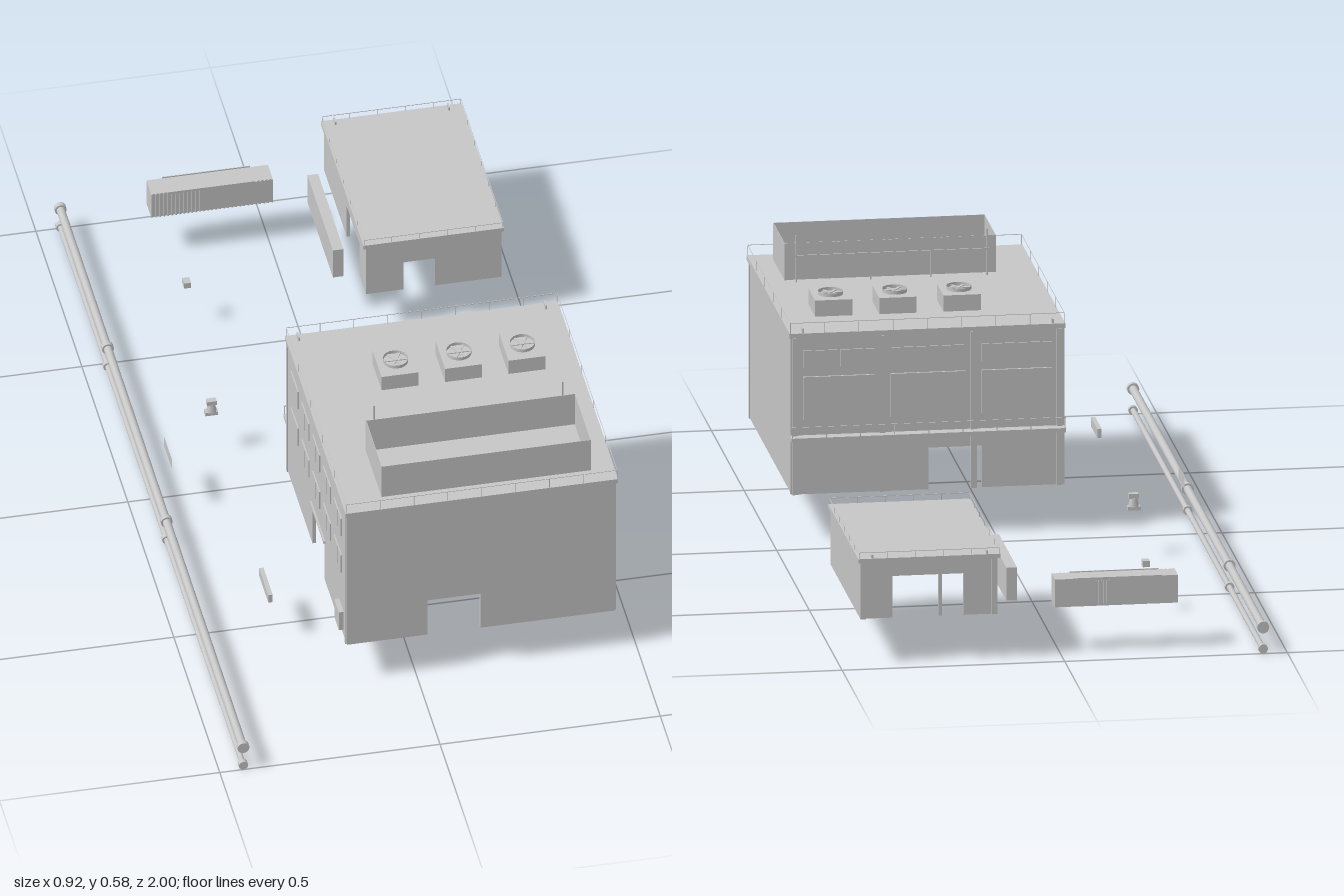
import * as THREE from 'three';

const grey = new THREE.MeshStandardMaterial({ color: 0xc6c6c6 });
grey.name = 'light concrete grey';
grey.side = THREE.DoubleSide;
const BASE = 0.104;

function add(parent, name, geometry) {
  const m = new THREE.Mesh(geometry, grey);
  m.name = name;
  parent.add(m);
  return m;
}

// box given by its lower and upper limits on each axis
function block(parent, name, x0, x1, y0, y1, z0, z1) {
  const m = add(parent, name, new THREE.BoxGeometry(x1 - x0, y1 - y0, z1 - z0));
  m.position.set((x0 + x1) / 2, (y0 + y1) / 2, (z0 + z1) / 2);
  return m;
}

function cylinder(parent, name, r0, r1, h, x, y, z, open = false, n = 20) {
  const m = add(parent, name, new THREE.CylinderGeometry(r0, r1, h, n, 1, open));
  m.position.set(x, y, z);
  return m;
}

// wall outline with door notches at floor level, extruded to a thin slab;
// axis 'x' runs along x at depth z = at, axis 'z' runs along z at x = at
function wall(parent, name, axis, from, to, top, at, doors = []) {
  const s = new THREE.Shape();
  s.moveTo(from, BASE);
  for (const [a, b, h] of doors) {
    s.lineTo(a, BASE); s.lineTo(a, h); s.lineTo(b, h); s.lineTo(b, BASE);
  }
  s.lineTo(to, BASE); s.lineTo(to, top); s.lineTo(from, top);
  const g = new THREE.ExtrudeGeometry(s, { depth: 0.008, bevelEnabled: false });
  g.translate(0, 0, -0.004);
  if (axis === 'z') g.rotateY(-Math.PI / 2);
  const m = add(parent, name, g);
  if (axis === 'x') m.position.z = at; else m.position.x = at;
}

// thin top rail and posts around a rectangle
function railing(parent, x0, x1, z0, z1, y, h, stepX, stepZ) {
  const g = new THREE.Group();
  g.name = 'roofRailing';
  parent.add(g);
  const r = 0.0006, t = y + h;
  for (const z of [z0, z1]) block(g, 'rail', x0, x1, t - r, t + r, z - r, z + r);
  for (const x of [x0, x1]) block(g, 'rail', x - r, x + r, t - r, t + r, z0, z1);
  const nx = Math.round((x1 - x0) / stepX), nz = Math.round((z1 - z0) / stepZ);
  for (let i = 0; i <= nx; i++) for (const z of [z0, z1]) {
    const x = x0 + (x1 - x0) * i / nx;
    block(g, 'post', x - r, x + r, y, t, z - r, z + r);
  }
  for (let i = 1; i < nz; i++) for (const x of [x0, x1]) {
    const z = z0 + (z1 - z0) * i / nz;
    block(g, 'post', x - r, x + r, y, t, z - r, z + r);
  }
}

function mainBuilding() {
  const g = new THREE.Group();
  g.name = 'mainBuilding';
  const top = 0.466;
  wall(g, 'frontWall', 'x', -0.156, 0.454, top, 0.731, [[0.027, 0.147, 0.2]]);
  wall(g, 'backWall', 'x', -0.156, 0.454, top, 0.09, [[0.027, 0.147, 0.2]]);
  wall(g, 'leftWall', 'z', 0.086, 0.735, top, 0.45);
  wall(g, 'rightWall', 'z', 0.086, 0.735, top, -0.152, [[0.36, 0.49, 0.2]]);
  block(g, 'roof', -0.16, 0.459, 0.465, 0.476, 0.081, 0.739);
  railing(g, -0.158, 0.457, 0.083, 0.737, 0.476, 0.024, 0.077, 0.13);

  // back facade: pilasters, high windows, large panels
  const cols = [-0.148, 0.045, 0.25, 0.446];
  for (const x of cols) block(g, 'pilaster', x - 0.007, x + 0.007, BASE, 0.465, 0.08, 0.087);
  for (let i = 0; i < 3; i++) {
    const a = cols[i] + 0.018, b = cols[i + 1] - 0.018, m = (a + b) / 2;
    block(g, 'backPanel', a, b, 0.275, 0.375, 0.081, 0.087);
    block(g, 'backWindow', a, m - 0.004, 0.395, 0.435, 0.083, 0.087);
    block(g, 'backWindow', m + 0.004, b, 0.395, 0.435, 0.083, 0.087);
  }

  // back walkway with its handrail
  block(g, 'walkway', -0.159, 0.458, 0.23, 0.24, 0.06, 0.086);
  block(g, 'walkwayRail', -0.159, 0.458, 0.263, 0.265, 0.061, 0.063);
  for (let i = 0; i <= 8; i++) {
    const x = -0.158 + i * 0.0766;
    block(g, 'walkwayPost', x, x + 0.002, 0.24, 0.264, 0.061, 0.063);
  }

  // framed windows along the right side
  for (const y of [0.267, 0.37]) for (let i = 0; i < 5; i++) {
    const z = 0.135 + i * 0.117;
    block(g, 'windowFrame', -0.159, -0.156, y, y + 0.048, z, z + 0.078);
    block(g, 'windowMullion', -0.16, -0.158, y, y + 0.048, z + 0.037, z + 0.041);
  }
  block(g, 'doorLintel', -0.16, -0.156, 0.21, 0.216, 0.35, 0.5);
  for (const z of [0.09, 0.725]) for (const x of [-0.1575, 0.4545])
    block(g, 'cornerStrip', x - 0.0015, x + 0.0015, BASE, 0.465, z - 0.004, z + 0.006);
  block(g, 'wallCabinet', -0.167, -0.156, 0.12, 0.17, 0.65, 0.7);

  // small roof vents at the back edge
  for (const x of [-0.133, 0.428]) block(g, 'roofVent', x - 0.002, x + 0.002, 0.476, 0.486, 0.085, 0.105);

  // open-topped roof enclosure
  const [x0, x1, y0, y1, z0, z1] = [-0.069, 0.406, 0.475, 0.561, 0.524, 0.695], t = 0.001;
  block(g, 'enclosureFront', x0, x1, y0, y1, z1 - t, z1);
  block(g, 'enclosureBack', x0, x1, y0, y1, z0, z0 + t);
  block(g, 'enclosureSide', x0, x0 + t, y0, y1, z0, z1);
  block(g, 'enclosureSide', x1 - t, x1, y0, y1, z0, z1);
  for (let i = 0; i <= 4; i++) {
    const x = x0 + 0.004 + i * (x1 - x0 - 0.008) / 4;
    block(g, 'enclosureRib', x - 0.004, x + 0.004, y0, y1, z0 - 0.002, z0);
  }
  // service line with masts behind the enclosure
  block(g, 'serviceLine', -0.05, 0.384, 0.535, 0.538, 0.501, 0.504);
  for (const [x, h] of [[-0.046, 0.583], [0.08, 0.538], [0.215, 0.538], [0.382, 0.583]])
    block(g, 'mast', x - 0.0015, x + 0.0015, 0.475, h, 0.501, 0.504);

  // rooftop fan units
  for (const x of [0.052, 0.196, 0.34]) {
    block(g, 'fanHousing', x - 0.042, x + 0.042, 0.475, 0.513, 0.215, 0.317);
    cylinder(g, 'fanRing', 0.028, 0.028, 0.008, x, 0.517, 0.266, true);
    cylinder(g, 'fanHub', 0.006, 0.006, 0.006, x, 0.516, 0.266);
    for (let i = 0; i < 3; i++) {
      const b = add(g, 'fanBlade', new THREE.BoxGeometry(0.052, 0.002, 0.006));
      b.position.set(x, 0.516, 0.266);
      b.rotation.y = i * Math.PI / 3;
    }
  }

  // interior columns and tanks
  for (const x of [-0.06, 0.08, 0.13, 0.27]) block(g, 'column', x - 0.006, x + 0.006, BASE, 0.466, 0.5, 0.512);
  for (const z of [0.25, 0.43, 0.61]) {
    cylinder(g, 'tank', 0.048, 0.048, 0.12, 0.33, BASE + 0.06, z, true, 24);
    cylinder(g, 'tankTop', 0.02, 0.048, 0.02, 0.33, BASE + 0.13, z, false, 24);
  }
  return g;
}

function annex() {
  const g = new THREE.Group();
  g.name = 'annex';
  wall(g, 'annexFrontWall', 'x', 0.145, 0.452, 0.235, -0.502, [[0.23, 0.3, 0.18]]);
  wall(g, 'annexBackWall', 'x', 0.145, 0.452, 0.235, -0.947, [[0.22, 0.38, 0.2]]);
  wall(g, 'annexLeftWall', 'z', -0.951, -0.498, 0.235, 0.448);
  wall(g, 'annexRightWall', 'z', -0.951, -0.498, 0.235, 0.149, [[-0.71, -0.57, 0.19]]);
  block(g, 'annexRoof', 0.138, 0.457, 0.233, 0.243, -0.956, -0.495);
  railing(g, 0.14, 0.455, -0.954, -0.497, 0.243, 0.014, 0.065, 0.076);
  block(g, 'annexDoorPost', 0.268, 0.276, BASE, 0.233, -0.95, -0.942);
  for (const x of [0.151, 0.446]) block(g, 'annexPilaster', x - 0.006, x + 0.006, BASE, 0.233, -0.956, -0.95);
  for (const x of [0.167, 0.425]) block(g, 'annexVent', x - 0.002, x + 0.002, 0.243, 0.251, -0.954, -0.936);
  return g;
}

// long pipe along z with flanges
function pipe(y, r, rf) {
  const g = new THREE.Group();
  g.name = 'pipeline';
  cylinder(g, 'pipe', r, r, 2, -0.446, y, 0).rotation.x = Math.PI / 2;
  for (const z of [-0.994, -0.48, 0.16, 0.994])
    cylinder(g, 'flange', rf, rf, 0.012, -0.446, y, z).rotation.x = Math.PI / 2;
  return g;
}

function yard() {
  const g = new THREE.Group();
  g.name = 'yardEquipment';
  // ribbed container with a grille on the back
  block(g, 'container', -0.266, 0.01, BASE, 0.168, -0.92, -0.868);
  for (let i = 0; i <= 30; i++) {
    const x = -0.266 + i * 0.0091;
    block(g, 'containerRib', x, x + 0.003, BASE, 0.168, -0.868, -0.865);
  }
  for (let i = 0; i < 7; i++) {
    const x = -0.113 + i * 0.006;
    block(g, 'containerGrille', x, x + 0.002, BASE + 0.005, 0.163, -0.923, -0.92);
  }
  for (const z of [-0.922, -0.866]) block(g, 'containerRidge', -0.23, -0.03, 0.164, 0.17, z - 0.001, z + 0.001);
  // free-standing wall beside the annex
  block(g, 'screenWall', 0.085, 0.109, BASE, 0.18, -0.85, -0.572);
  // small box, hydrant, low bench and sign
  block(g, 'valveBox', -0.247, -0.231, BASE, 0.118, -0.621, -0.6);
  block(g, 'hydrantBase', -0.295, -0.266, BASE, 0.113, -0.154, -0.138);
  cylinder(g, 'hydrantBody', 0.008, 0.012, 0.02, -0.28, 0.122, -0.146, false, 8);
  block(g, 'hydrantCap', -0.291, -0.269, 0.131, 0.142, -0.153, -0.139);
  block(g, 'bench', -0.296, -0.286, BASE, 0.125, 0.45, 0.55);
  const sign = add(g, 'signPanel', new THREE.PlaneGeometry(0.086, 0.027));
  sign.rotation.y = -Math.PI / 2;
  sign.position.set(-0.41, 0.129, 0.007);
  return g;
}

export function createModel() {
  const model = new THREE.Group();
  model.name = 'industrialSite';
  model.add(mainBuilding(), annex(), yard(), pipe(0.061, 0.0095, 0.0135), pipe(0.0115, 0.0065, 0.0105));
  return model;
}
